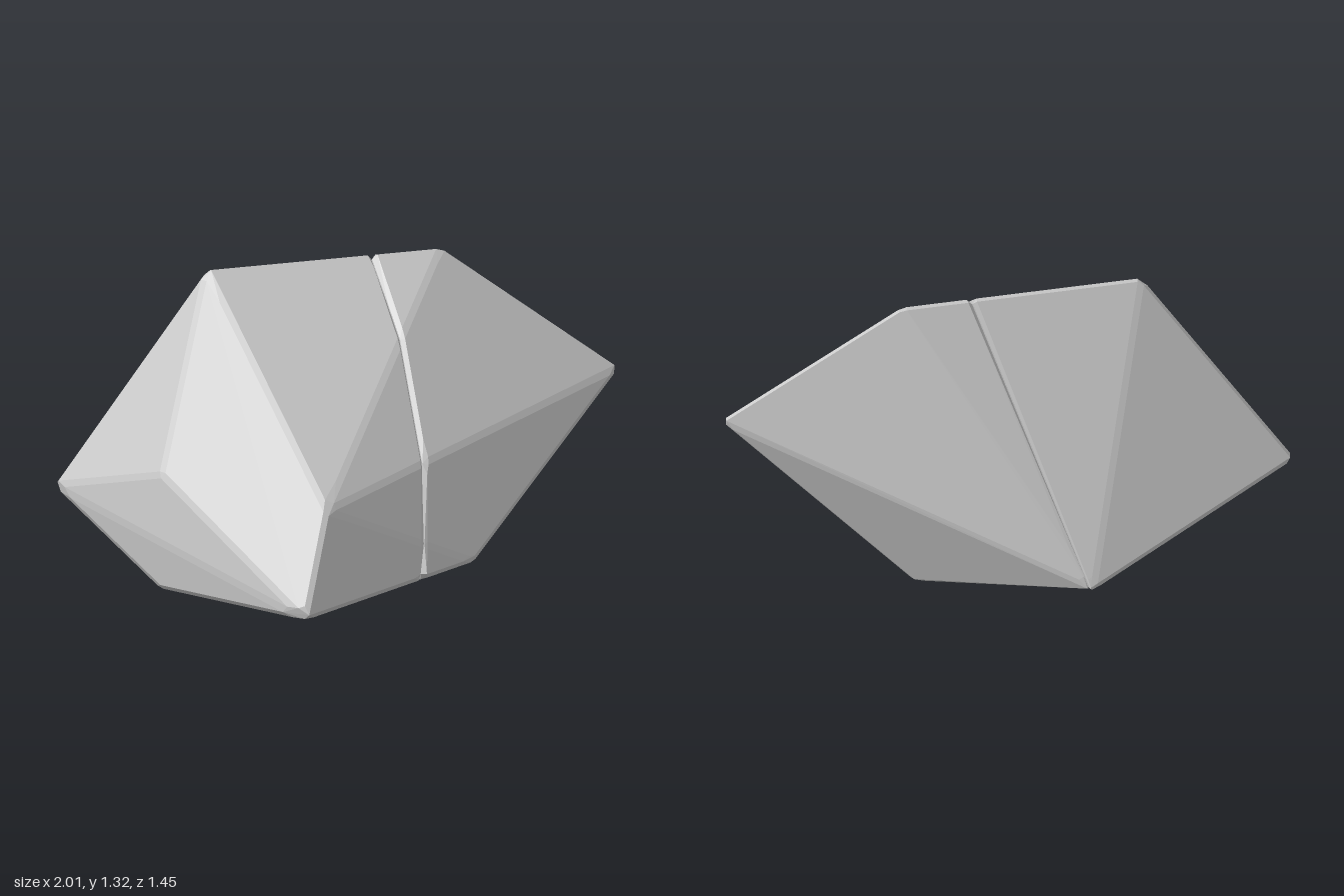
import * as THREE from 'three';
import { ConvexGeometry } from 'three/addons/geometries/ConvexGeometry.js';

const V = (x, y, z) => new THREE.Vector3(x, y, z);

// Corners of the boulder
const CORNERS = [
  V(-0.54, 1.30, -0.31), V(0.39, 1.335, 0.11), V(1.022, 0.81, 0.51),  // top ridge, right tip
  V(-1.01, 0.40, -0.73), V(-0.96, 0.01, 0.73), V(0.01, 0.14, 0.71),   // left back, left front, front
  V(0.01, 0.175, -0.685), V(0.41, 0, 0), V(-0.62, 0, -0.4),           // back, base
  V(-0.98, 0.04, -0.12), V(-0.94, 0.505, -0.15), V(-0.75, 0.43, 0.635), // left side, front left
];

// Plane of the crack that splits the boulder
const CRACK = new THREE.Plane(V(0.961, -0.195, 0.198).normalize(), 0.148);

// Corners of the part lying on one side of the crack, leaving half a gap
function cutCorners(side, gap) {
  const dist = (p) => side * CRACK.distanceToPoint(p) - gap;
  const out = CORNERS.filter((p) => dist(p) > 0);
  for (const a of CORNERS) {
    for (const b of CORNERS) {
      const da = dist(a), db = dist(b);
      if (da > 0 && db < 0) out.push(a.clone().lerp(b, da / (da - db)));
    }
  }
  return out;
}

// Bevelled hull: inset every face by an even margin, then wrap the result
function bevelledHull(corners, margin) {
  const pos = new ConvexGeometry(corners).attributes.position;
  const points = [];
  for (let i = 0; i < pos.count; i += 3) {
    const [a, b, c] = [0, 1, 2].map((k) => V(0, 0, 0).fromBufferAttribute(pos, i + k));
    const la = b.distanceTo(c), lb = c.distanceTo(a), lc = a.distanceTo(b);
    const sum = la + lb + lc;
    const area = new THREE.Triangle(a, b, c).getArea();
    if (area < 1e-5) continue;
    const inradius = (2 * area) / sum;
    const incenter = V(0, 0, 0).addScaledVector(a, la / sum).addScaledVector(b, lb / sum).addScaledVector(c, lc / sum);
    const t = Math.min(1, margin / inradius);
    for (const p of [a, b, c]) points.push(p.clone().lerp(incenter, t));
  }
  return new ConvexGeometry(points);
}

export function createModel() {
  const stone = new THREE.MeshStandardMaterial({ color: 0xc5c5c5 });
  stone.name = 'light grey stone';
  const rock = new THREE.Group();
  rock.name = 'boulder';

  const add = (name, geometry) => {
    const mesh = new THREE.Mesh(geometry, stone);
    mesh.name = name;
    rock.add(mesh);
  };

  // Two halves either side of the crack
  add('rightHalf', bevelledHull(cutCorners(1, 0.002), 0.015));
  add('leftHalf', bevelledHull(cutCorners(-1, 0.002), 0.015));

  // Inner core closing the bottom of the crack
  const middle = V(-0.08, 0.6, 0);
  add('crackCore', new ConvexGeometry(CORNERS.map((p) => p.clone().lerp(middle, 0.045))));

  return rock;
}
